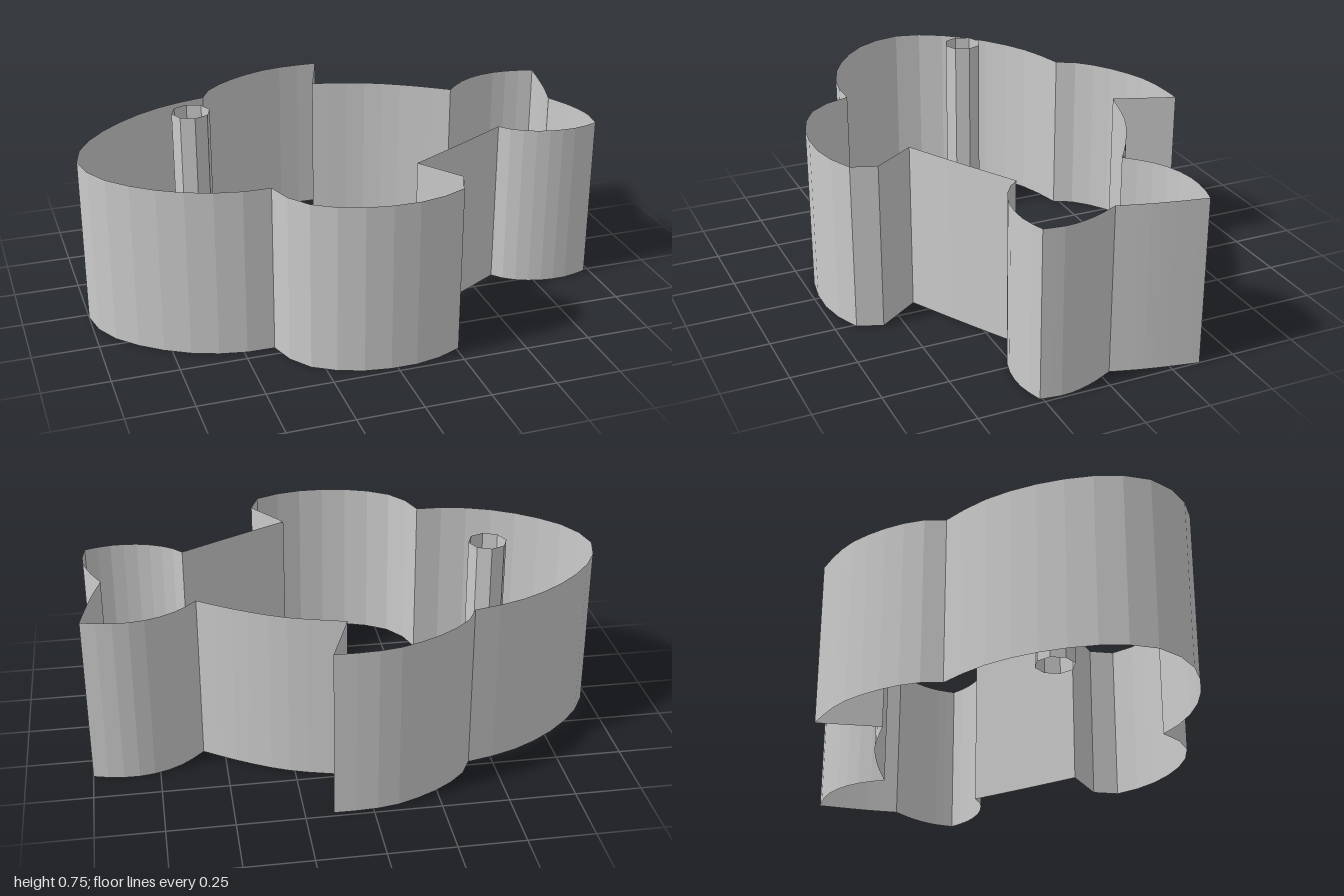
import * as THREE from 'three';

const HEIGHT = 0.65;

// Outline of the fish as [x, z] arcs; each arc ends on a sharp corner where the next one starts.
const ARCS = {
  frontBody: [[-1, 0.02], [-0.965, 0.16], [-0.86, 0.285], [-0.76, 0.36], [-0.64, 0.42], [-0.5, 0.455], [-0.385, 0.458]],
  frontFin: [[-0.385, 0.458], [-0.35, 0.56], [-0.29, 0.635], [-0.15, 0.705], [0.02, 0.73], [0.15, 0.715], [0.26, 0.67]],
  frontFinTip: [[0.26, 0.67], [0.295, 0.575]],
  frontFinBack: [[0.295, 0.575], [0.18, 0.413]],
  frontTailStem: [[0.18, 0.413], [0.4, 0.295], [0.605, 0.18]],
  frontTailLobe: [[0.605, 0.18], [0.655, 0.232], [0.76, 0.278], [0.885, 0.286], [0.98, 0.26]],
  frontTailEnd: [[0.98, 0.26], [0.99, 0.165], [0.967, 0.062], [0.922, -0.038]],
  backTailEnd: [[0.922, -0.038], [0.955, -0.15], [0.98, -0.26], [1, -0.36]],
  backTailLobe: [[1, -0.36], [0.91, -0.382], [0.8, -0.382], [0.7, -0.35], [0.635, -0.305], [0.58, -0.25]],
  backTailStem: [[0.58, -0.25], [0.455, -0.335], [0.277, -0.43], [0.06, -0.495]],
  backFinBack: [[0.06, -0.495], [0.145, -0.73]],
  backFin: [[0.145, -0.73], [0.03, -0.73], [-0.09, -0.715], [-0.265, -0.637], [-0.37, -0.55], [-0.41, -0.478]],
  backBody: [[-0.41, -0.478], [-0.58, -0.432], [-0.75, -0.338], [-0.9, -0.2], [-0.975, -0.08], [-1, 0.02]],
};

// Upright thin wall following an arc
function wall(points) {
  const curve = new THREE.CatmullRomCurve3(points.map(([x, z]) => new THREE.Vector3(x, 0, z)), false, 'centripetal');
  const samples = points.length === 2 ? curve.getPoints(1) : curve.getSpacedPoints(8);
  const positions = [];
  const index = [];
  samples.forEach((p, i) => {
    positions.push(p.x, 0, p.z, p.x, HEIGHT, p.z);
    if (i > 0) {
      const a = 2 * (i - 1);
      index.push(a, a + 2, a + 1, a + 1, a + 2, a + 3);
    }
  });
  const geometry = new THREE.BufferGeometry();
  geometry.setAttribute('position', new THREE.Float32BufferAttribute(positions, 3));
  geometry.setIndex(index);
  geometry.computeVertexNormals();
  return geometry;
}

export function createModel() {
  const group = new THREE.Group();
  group.name = 'fishCutter';
  const material = new THREE.MeshStandardMaterial({ color: 0xcccccc, flatShading: true, side: THREE.DoubleSide });

  // Outline walls
  for (const [name, points] of Object.entries(ARCS)) {
    const mesh = new THREE.Mesh(wall(points), material);
    mesh.name = name;
    group.add(mesh);
  }

  // Open eight-sided eye tube, raised above the walls
  const eye = new THREE.Mesh(new THREE.CylinderGeometry(0.074, 0.074, HEIGHT, 8, 1, true), material);
  eye.name = 'eyeTube';
  eye.position.set(-0.542, 0.095 + HEIGHT / 2, -0.105);
  group.add(eye);

  return group;
}
